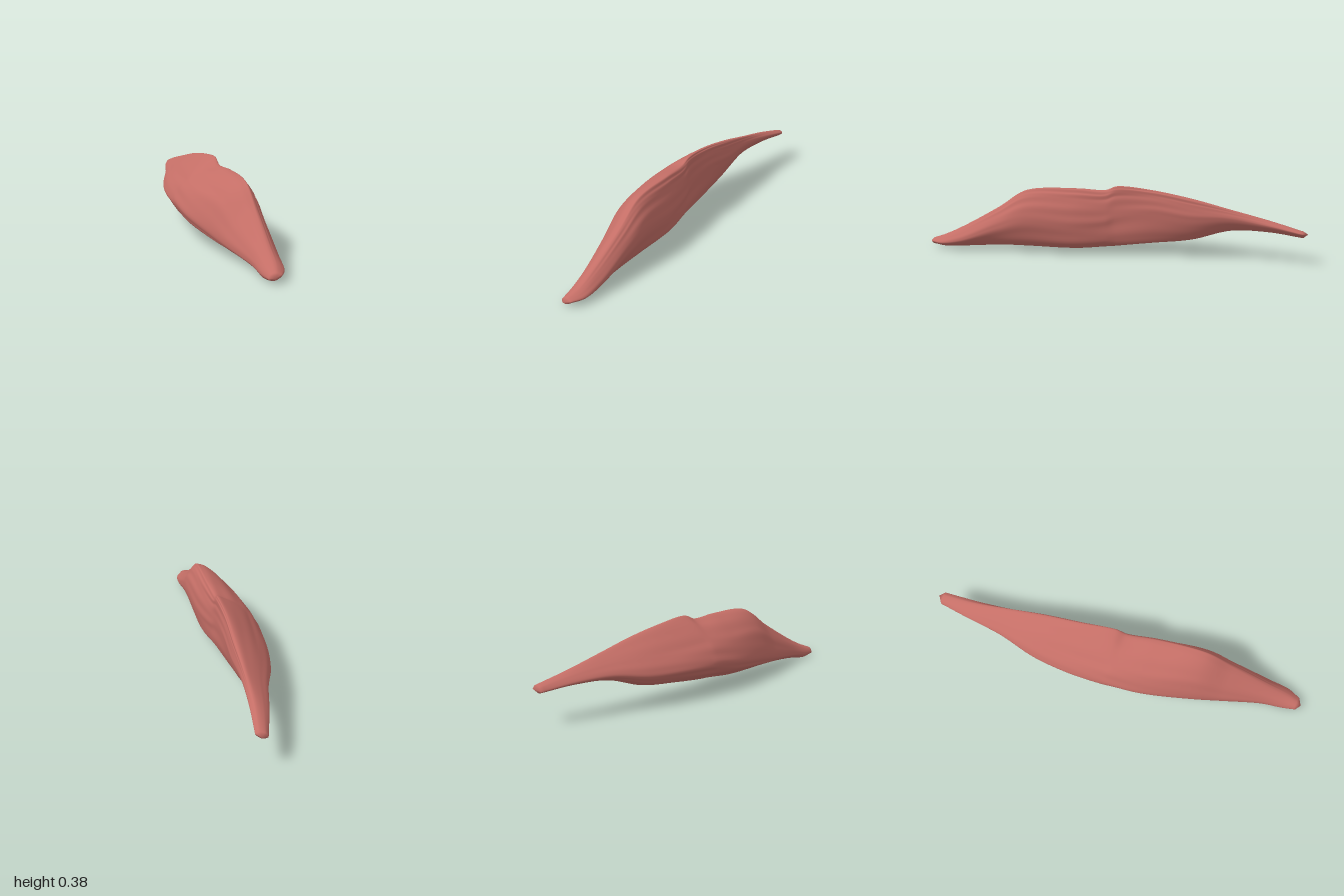
import * as THREE from 'three';

// Cross-sections along the muscle: z, then x,y of top, right, bottom, left, upper left
const SECTIONS = [
  [0.98, 0.15, 0.048, 0.18, 0.036, 0.145, 0.012, 0.117, 0.02, 0.127, 0.04],
  [0.91, 0.155, 0.075, 0.205, 0.038, 0.128, 0.002, 0.098, 0.025, 0.115, 0.057],
  [0.80, 0.145, 0.13, 0.203, 0.06, 0.137, 0.015, 0.07, 0.042, 0.09, 0.095],
  [0.60, 0.125, 0.248, 0.186, 0.14, 0.125, 0.035, -0.01, 0.07, 0.03, 0.175],
  [0.45, 0.105, 0.345, 0.172, 0.19, 0.11, 0.04, -0.07, 0.09, -0.015, 0.25],
  [0.20, 0.068, 0.361, 0.122, 0.18, 0.08, 0.044, -0.155, 0.125, -0.09, 0.265],
  [0.04, 0.04, 0.356, 0.07, 0.19, 0.04, 0.058, -0.187, 0.15, -0.118, 0.272],
  [-0.02, 0.035, 0.379, 0.05, 0.21, 0.025, 0.063, -0.195, 0.155, -0.122, 0.272],
  [-0.20, 0.003, 0.367, 0.023, 0.24, -0.015, 0.082, -0.208, 0.16, -0.135, 0.262],
  [-0.40, -0.02, 0.333, -0.002, 0.225, -0.06, 0.104, -0.2, 0.165, -0.135, 0.255],
  [-0.60, -0.048, 0.285, -0.032, 0.235, -0.085, 0.162, -0.165, 0.19, -0.12, 0.242],
  [-0.80, -0.075, 0.236, -0.05, 0.213, -0.09, 0.17, -0.145, 0.185, -0.117, 0.218],
  [-0.975, -0.08, 0.192, -0.058, 0.182, -0.09, 0.155, -0.12, 0.163, -0.108, 0.183],
];
const FRONT_TIP = [0.145, 0.03, 1], BACK_TIP = [-0.085, 0.178, -1];
const RINGS = 120, AROUND = 84;
const { lerp } = THREE.MathUtils;

// One long guide curve per profile corner, plus a full shoulder and underside
function guideCurves() {
  const rows = SECTIONS.map(([z, ...v]) => {
    const [top, right, bottom, left, upper] = [0, 2, 4, 6, 8].map((k) => new THREE.Vector3(v[k], v[k + 1], z));
    const between = (a, b, tx, ty) => new THREE.Vector3(lerp(a.x, b.x, tx), lerp(a.y, b.y, ty), z);
    const shoulder = between(top, right, 0.55, 0.28);
    const under = between(bottom, left, 0.7, 0.2);
    return [top, shoulder, right, bottom, under, left, upper];
  });
  return rows[0].map((_, k) => new THREE.CatmullRomCurve3(rows.map((r) => r[k])));
}

function muscleGeometry() {
  const guides = guideCurves();
  const positions = [], index = [];
  for (let i = 0; i <= RINGS; i++) {
    const t = i / RINGS;
    const corners = guides.map((g) => g.getPoint(t));
    const ring = new THREE.CatmullRomCurve3(corners, true);
    const centre = new THREE.Vector3();
    corners.forEach((c) => centre.addScaledVector(c, 1 / corners.length));
    for (let j = 0; j < AROUND; j++) {
      const u = j / AROUND, a = u * Math.PI * 2;
      const p = ring.getPoint(u);
      // Shallow fibre grooves that drift along the length and fade at the ends
      const fibre = Math.sin(a * 11 + t * 9) + 0.6 * Math.sin(a * 17 - t * 14 + 1);
      p.lerp(centre, 0.011 * fibre * Math.sin(Math.PI * t));
      positions.push(p.x, p.y, p.z);
    }
  }
  for (let i = 0; i < RINGS; i++) {
    for (let j = 0; j < AROUND; j++) {
      const k = (j + 1) % AROUND, r = i * AROUND, s = r + AROUND;
      index.push(r + j, r + k, s + j, r + k, s + k, s + j);
    }
  }
  // Draw both tendon ends in to a blunt point
  const last = RINGS * AROUND, front = positions.length / 3;
  positions.push(...FRONT_TIP, ...BACK_TIP);
  for (let j = 0; j < AROUND; j++) {
    const k = (j + 1) % AROUND;
    index.push(front, k, j, front + 1, last + j, last + k);
  }
  const geometry = new THREE.BufferGeometry();
  geometry.setAttribute('position', new THREE.Float32BufferAttribute(positions, 3));
  geometry.setIndex(index);
  geometry.computeVertexNormals();
  return geometry;
}

export function createModel() {
  const group = new THREE.Group();
  group.name = 'muscle';
  const flesh = new THREE.MeshStandardMaterial({ color: 0xc46e66 });
  flesh.name = 'muscle red';
  const belly = new THREE.Mesh(muscleGeometry(), flesh);
  belly.name = 'muscleBelly';
  group.add(belly);
  return group;
}
